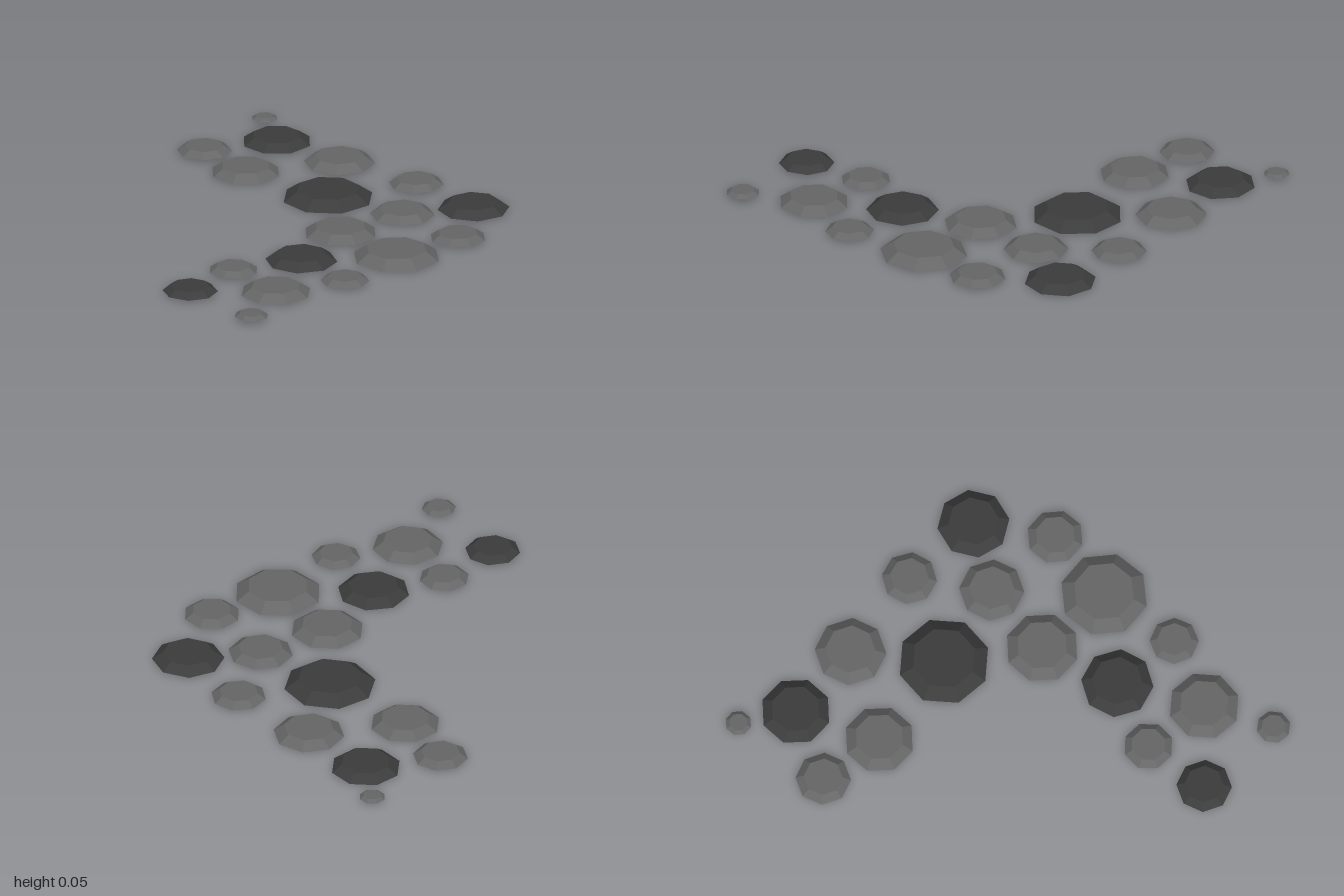
import * as THREE from 'three';

const MID_Y = 0.0226; // all stones share this mid-height
const HALF_HEIGHT = 0.104; // relative to the stone radius
const TOP_RATIO = 0.7; // flat top relative to the base

// x, z, radius, turn in degrees, dark
const STONES = [
  [0.46, -0.82, 0.13, 5, false],
  [0.938, -0.888, 0.062, 20, false],
  [0.783, -0.66, 0.166, 22.5, true],
  [0.401, -0.497, 0.166, 22.5, false],
  [0.797, -0.267, 0.168, 6, false],
  [0.444, -0.005, 0.217, 29, true],
  [0.842, 0.187, 0.13, 9, false],
  [0.519, 0.406, 0.153, 6, false],
  [0.152, 0.356, 0.174, 22, false],
  [0.807, 0.591, 0.17, 39, true],
  [0.481, 0.802, 0.134, 20, false],
  [0.12, 0.749, 0.208, 19, false],
  [-0.227, 0.465, 0.17, 8, true],
  [-0.281, 0.799, 0.115, 3, false],
  [-0.548, 0.332, 0.118, 26, false],
  [-0.602, 0.658, 0.168, 29, false],
  [-0.874, 0.364, 0.13, 5, true],
  [-0.914, 0.799, 0.081, 32, false],
];

export function createModel() {
  const group = new THREE.Group();
  group.name = 'steppingStonePath';

  // Eight-sided bevelled shell, open underneath
  const profile = [
    new THREE.Vector2(1, -HALF_HEIGHT),
    new THREE.Vector2(TOP_RATIO, HALF_HEIGHT),
    new THREE.Vector2(0, HALF_HEIGHT),
  ];
  const shell = new THREE.LatheGeometry(profile, 8).toNonIndexed();
  shell.computeVertexNormals();

  const stoneMaterial = (color) =>
    new THREE.MeshStandardMaterial({ color, flatShading: true, side: THREE.DoubleSide });
  const lightStone = stoneMaterial(0x666666);
  const darkStone = stoneMaterial(0x3c3c3c);

  STONES.forEach(([x, z, radius, turn, dark], i) => {
    const stone = new THREE.Mesh(shell, dark ? darkStone : lightStone);
    stone.name = `${dark ? 'darkStone' : 'lightStone'}${i + 1}`;
    stone.position.set(x, MID_Y, z);
    stone.rotation.y = -THREE.MathUtils.degToRad(turn);
    stone.scale.setScalar(radius);
    group.add(stone);
  });

  return group;
}
